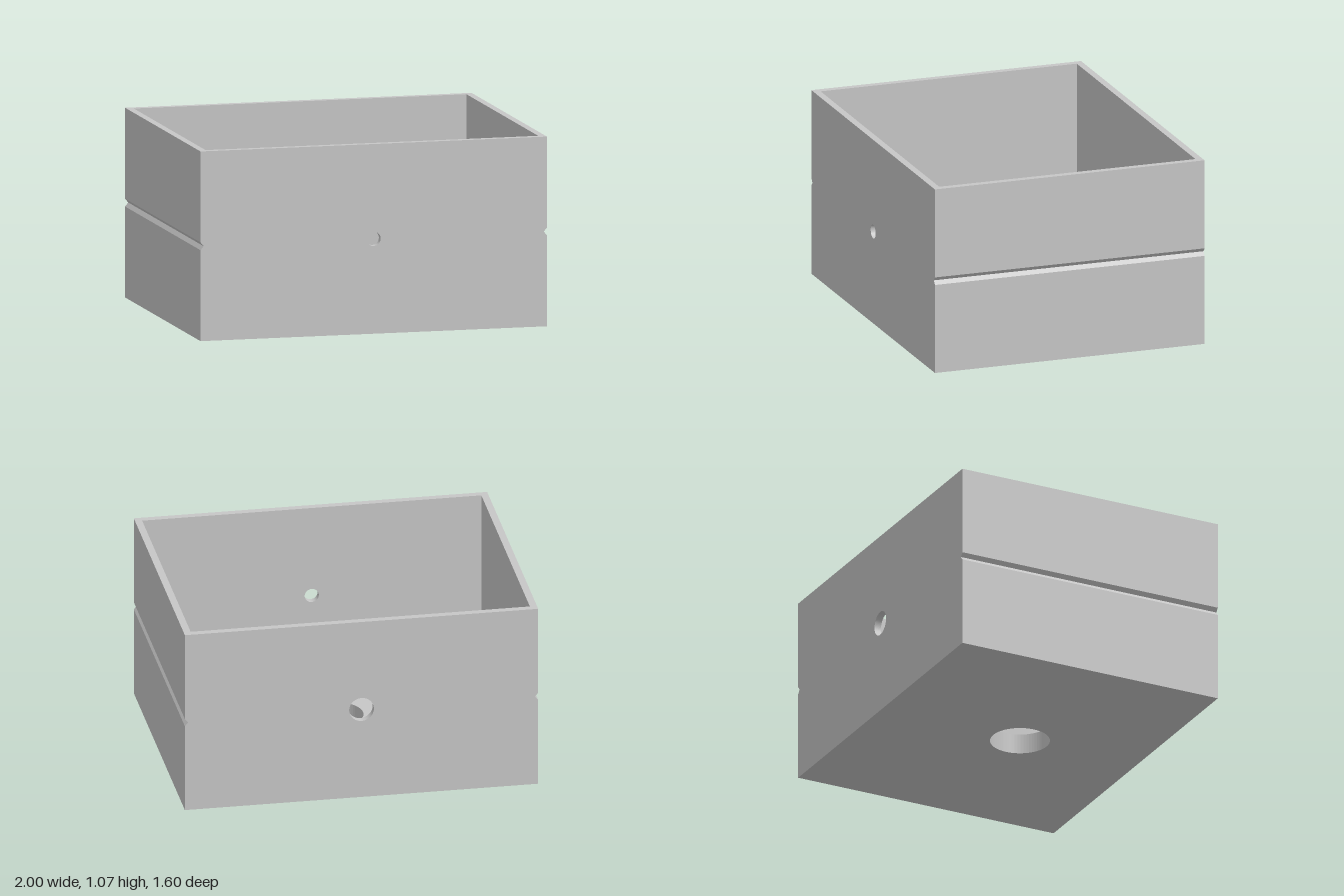
import * as THREE from 'three';

const grey = new THREE.MeshStandardMaterial({ color: 0xc6c6c6 });
grey.name = 'light grey';
const greyOpen = new THREE.MeshStandardMaterial({ color: 0xc6c6c6, side: THREE.DoubleSide });
greyOpen.name = 'light grey sheet';

const W = 1, H = 1.07, D = 0.8, T = 0.04;       // half width, height, half depth, wall
const MID = 0.535;                               // height of wall holes and side grooves
const TOP = 0.115;                               // top of the inner tray
const R = 0.167, ZC = -0.495, ZH = 0.075;        // round pocket and drain hole
const TROUGH = { x: 0.9, back: -0.71, front: -0.54, bottom: 0.045 };

// half width of the round pocket at depth z
const pocketX = (z) => Math.sqrt(Math.max(0, R * R - (z - ZC) ** 2));

function hole(x, y, r) {
  return new THREE.Path().absarc(x, y, r, 0, Math.PI * 2, true);
}

function polygon(points) {
  return new THREE.Shape(points.map(([x, y]) => new THREE.Vector2(x, y)));
}

function extrude(shape, depth) {
  return new THREE.ExtrudeGeometry(shape, { depth, bevelEnabled: false, curveSegments: 32 });
}

// Shape drawn in (x, z), raised from y0 to y1
function slab(shape, y0, y1) {
  return extrude(shape, y1 - y0).rotateX(Math.PI / 2).translate(0, y1, 0);
}

export function createModel() {
  const model = new THREE.Group();
  model.name = 'box';
  const add = (name, geometry, parent = model, material = grey) => {
    const mesh = new THREE.Mesh(geometry, material);
    mesh.name = name;
    parent.add(mesh);
  };

  // Side walls with a V groove running front to back
  const side = polygon([
    [W - T, 0], [W, 0], [W, MID - 0.022], [W - 0.018, MID],
    [W, MID + 0.022], [W, H], [W - T, H],
  ]);
  const wall = extrude(side, 2 * D).translate(0, 0, -D);
  add('leftWall', wall);
  add('rightWall', wall.clone().rotateY(Math.PI));

  // Front and back walls, each with a round hole
  const inX = W - T, inZ = D - T;
  for (const [name, r, z] of [['frontWall', 0.04, inZ], ['backWall', 0.07, -D]]) {
    const shape = polygon([[-inX, 0], [inX, 0], [inX, H], [-inX, H]]);
    shape.holes.push(hole(0, MID, r));
    add(name, extrude(shape, T).translate(0, 0, z));
  }

  // Floor with the drain hole
  const floor = polygon([[-inX, -inZ], [inX, -inZ], [inX, inZ], [-inX, inZ]]);
  floor.holes.push(hole(0, ZH, R));
  add('floor', slab(floor, 0, T));

  // Inner tray
  const tray = new THREE.Group();
  tray.name = 'tray';
  model.add(tray);
  const X = 0.92, zBack = -0.72, zFront = 0.64, slotBack = -0.51, slotFront = -0.49, c = 0.008;

  // Front section: half pocket cut from its back edge, drain hole in the middle
  const a = Math.asin((slotFront - ZC) / R);
  const front = new THREE.Shape();
  front.moveTo(-X, slotFront);
  front.lineTo(-pocketX(slotFront), slotFront);
  front.absarc(0, ZC, R, Math.PI - a, a, true);
  front.lineTo(X, slotFront);
  front.lineTo(X, zFront - c);
  front.quadraticCurveTo(X, zFront, X - c, zFront);
  front.lineTo(-X + c, zFront);
  front.quadraticCurveTo(-X, zFront, -X, zFront - c);
  front.holes.push(hole(0, ZH, R));
  add('trayFront', slab(front, T, TOP), tray);

  // Back section: rim around the trough, open where the pocket cuts in
  const { x: tx, back, front: tf, bottom } = TROUGH;
  const rim = [
    [pocketX(slotBack), slotBack], [X, slotBack], [X, zBack + c], [X - c, zBack],
    [-X + c, zBack], [-X, zBack + c], [-X, slotBack], [-pocketX(slotBack), slotBack],
    [-pocketX(tf), tf], [-tx, tf], [-tx, back], [tx, back], [tx, tf], [pocketX(tf), tf],
  ];
  add('trayBack', slab(polygon(rim), T, TOP), tray);

  // Narrow slot floor on both sides of the pocket
  for (const s of [-1, 1]) {
    const x0 = pocketX(slotBack);
    add('slotFloor', new THREE.BoxGeometry(X - x0, 0.04, slotFront - slotBack)
      .translate(s * (X + x0) / 2, T + 0.02, (slotFront + slotBack) / 2), tray);
  }

  // Rounded trough, trimmed by the pocket, with the pocket's wall below it
  const N = 32;
  const troughAt = (t) => {
    const ang = Math.PI * t;
    return [
      (back + tf) / 2 - Math.cos(ang) * (tf - back) / 2,
      TOP - Math.sin(ang) * (TOP - bottom),
    ];
  };
  const sheet = (place) => {
    const g = new THREE.PlaneGeometry(1, 1, 1, N);
    const p = g.attributes.position;
    for (let i = 0; i < p.count; i++) {
      p.setXYZ(i, ...place(p.getX(i) + 0.5, 0.5 - p.getY(i)));
    }
    g.computeVertexNormals();
    return g;
  };
  for (const s of [-1, 1]) {
    // u is mirrored on one side so the surface always faces up
    add('trough', sheet((u, v) => {
      const [z, y] = troughAt(v);
      const k = s > 0 ? u : 1 - u;
      return [s * (pocketX(z) + (tx - pocketX(z)) * k), y, z];
    }), tray, greyOpen);
    add('pocketWall', sheet((u, v) => {
      const z = ZC - R + (tf - ZC + R) * v;
      const t = Math.acos(THREE.MathUtils.clamp(1 - 2 * (z - back) / (tf - back), -1, 1)) / Math.PI;
      return [s * pocketX(z), u < 0.5 ? T : troughAt(t)[1], z];
    }), tray, greyOpen);
  }
  return model;
}
